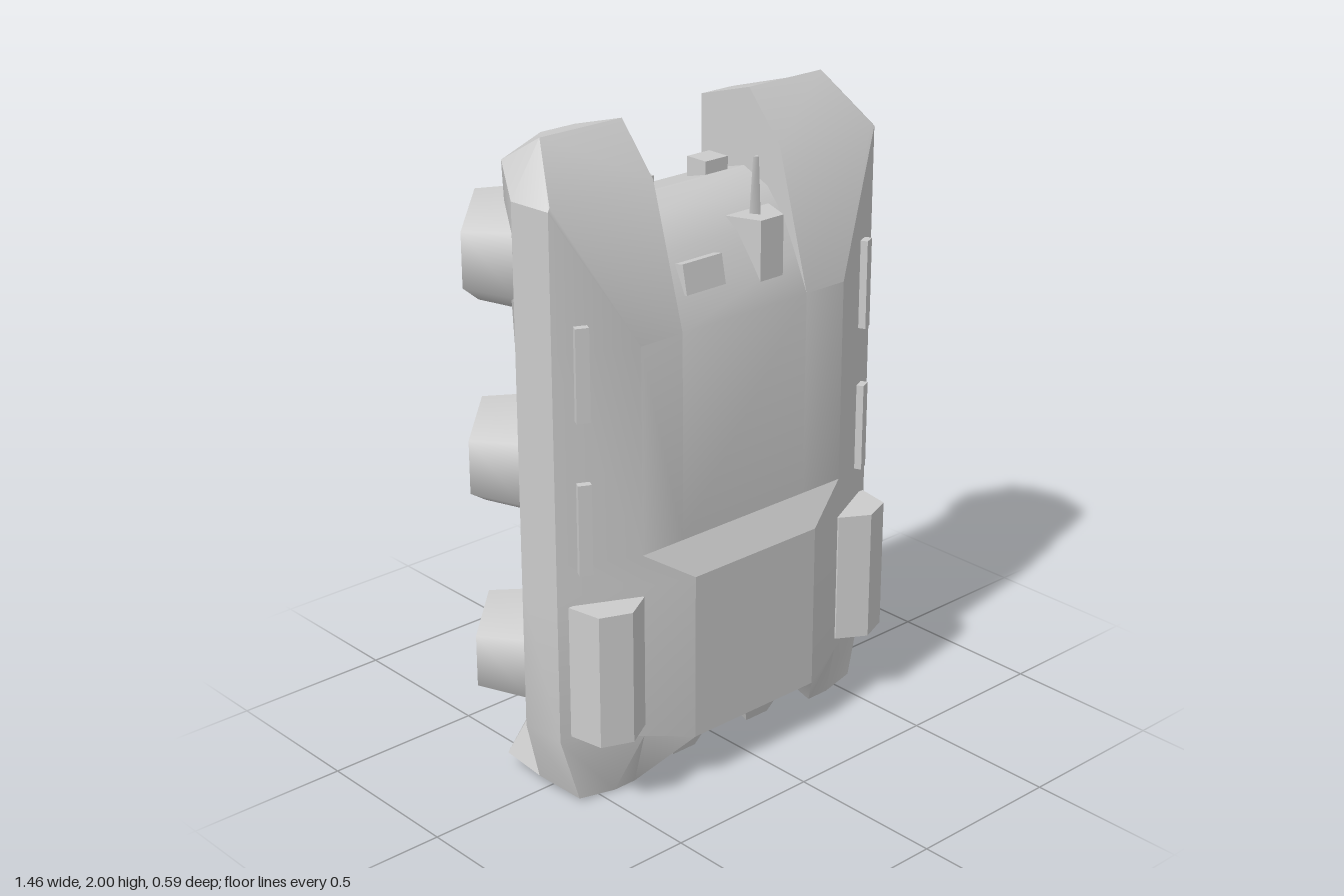
import * as THREE from 'three';
import { toCreasedNormals } from 'three/addons/utils/BufferGeometryUtils.js';

const material = new THREE.MeshStandardMaterial({ color: 0xcccccc, side: THREE.DoubleSide });

export function createModel() {
  const model = new THREE.Group();

  function add(name, geometry, x = 0, y = 0, z = 0) {
    const mesh = new THREE.Mesh(geometry, material);
    mesh.name = name;
    mesh.position.set(x, y, z);
    model.add(mesh);
    return mesh;
  }

  function extrude(points, depth) {
    const shape = new THREE.Shape(points.map(([x, y]) => new THREE.Vector2(x, y)));
    return new THREE.ExtrudeGeometry(shape, { depth, bevelEnabled: false });
  }

  // Upright prism from an (x, z) outline
  function prism(points, y0, y1) {
    const geometry = extrude(points.map(([x, z]) => [x, -z]), y1 - y0);
    return geometry.rotateX(-Math.PI / 2).translate(0, y0, 0);
  }

  // Side hull: rings from top to bottom, each running inner front -> outer -> inner back
  const back = (y) => [[0.66, y, 0], [0.515, y, -0.11], [0.37, y, -0.22], [0.245, y, -0.22]];
  const rings = [
    [[0.245, 2, -0.02], [0.53, 2, -0.02], [0.54, 2, -0.02], [0.54, 2, -0.02],
      [0.54, 2, -0.02], [0.4, 2, -0.02], [0.245, 2, -0.02]],
    [[0.245, 1.85, 0.11], [0.62, 1.85, 0.115], [0.63, 1.84, 0.12], [0.66, 1.85, 0],
      [0.58, 1.92, -0.14], [0.37, 1.94, -0.225], [0.245, 1.94, -0.225]],
    [[0.245, 1.43, 0.23], [0.4, 1.43, 0.23], [0.63, 1.43, 0.12], ...back(1.43)],
    [[0.245, 0.79, 0.23], [0.4, 0.79, 0.23], [0.63, 0.79, 0.12], ...back(0.79)],
    [[0.245, 0.69, 0.285], [0.4, 0.69, 0.23], [0.63, 0.69, 0.12], ...back(0.69)],
    [[0.245, 0.16, 0.285], [0.4, 0.2, 0.23], [0.63, 0.22, 0.12], ...back(0.24)],
    [[0.37, 0, 0.15], [0.45, 0, 0.15], [0.57, 0.01, 0.13], [0.6, 0.035, -0.02],
      [0.6, 0.05, -0.17], [0.42, 0.06, -0.17], [0.4, 0.06, -0.17]],
  ];

  function sideHull(side) {
    const positions = [];
    const tri = (...corners) => {
      const [a, b, c] = corners.map(([x, y, z]) => new THREE.Vector3(side * x, y, z));
      if (new THREE.Triangle(a, b, c).getArea() < 1e-7) return;
      for (const v of side > 0 ? [a, b, c] : [a, c, b]) positions.push(v.x, v.y, v.z);
    };
    for (let i = 0; i < rings.length - 1; i++) {
      const top = rings[i], low = rings[i + 1], n = top.length;
      for (let j = 0; j < n; j++) {
        const k = (j + 1) % n;
        tri(low[j], low[k], top[k]);
        tri(low[j], top[k], top[j]);
      }
    }
    const end = rings[rings.length - 1];
    for (let j = 1; j < end.length - 1; j++) tri(end[0], end[j + 1], end[j]);
    const geometry = new THREE.BufferGeometry();
    geometry.setAttribute('position', new THREE.Float32BufferAttribute(positions, 3));
    return toCreasedNormals(geometry, 0.5);
  }

  // Central hull: (z, y) profile with rounded upper deck, raised lower front and sloped underside
  const profile = [
    [0.285, 0.16], [0.285, 0.69], [0.23, 0.79], [0.23, 1.43], [0.18, 1.54], [0.13, 1.64],
    [0.06, 1.72], [-0.04, 1.76], [-0.22, 1.71], [-0.22, 0.24], [0.15, 0.1],
  ];
  const centre = extrude(profile, 0.49).rotateY(-Math.PI / 2).translate(0.245, 0, 0);
  add('centralHull', toCreasedNormals(centre, 0.5));

  for (const side of [1, -1]) {
    const label = side > 0 ? 'left' : 'right';
    add(label + 'Hull', sideHull(side));

    // Tapered hexagonal thrusters on the slanted rear panel
    for (const y of [0.425, 1.045, 1.665]) {
      const geometry = new THREE.CylinderGeometry(0.163, 0.187, 0.16, 6).rotateX(Math.PI / 2);
      const thruster = add(label + 'Thruster', geometry, side * 0.569, y, -0.152);
      thruster.rotation.y = side * Math.atan2(0.58, -0.82);
    }

    // Faceted pod low on the front
    const pod = [[0.4, 0.14], [0.4, 0.235], [0.49, 0.288], [0.585, 0.25], [0.605, 0.14]];
    const podGeometry = prism(pod.map(([x, z]) => [side * x, z]), 0.24, 0.66);
    add(label + 'Pod', toCreasedNormals(podGeometry, 0.65));

    // Slim strips on the slanted front panel
    for (const y of [0.902, 1.37]) {
      const strip = add(label + 'Strip', new THREE.BoxGeometry(0.04, 0.28, 0.04), side * 0.557, y, 0.158);
      strip.rotation.y = side * 0.447;
    }

    // Wedge-shaped skid along the underside
    const skid = extrude([[-0.085, 0.05], [-0.045, -0.045], [0.045, -0.045], [0.085, 0.05]], 0.2);
    const foot = add(label + 'Skid', skid.translate(0, 0, -0.2), side * 0.155, 0.058, 0.15);
    foot.rotation.x = 0.36;

    // Small rear deck hatch
    add(label + 'DeckHatch', new THREE.BoxGeometry(0.088, 0.07, 0.08), side * 0.145, 1.762, -0.09);
  }

  // Deck box
  const box = add('deckBox', new THREE.BoxGeometry(0.15, 0.09, 0.06), -0.125, 1.56, 0.16);
  box.rotation.x = -0.2;

  // Mast base and three-sided mast
  add('mastBase', prism([[0.03, 0.06], [0.23, 0.06], [0.175, 0.2], [0.085, 0.2]], 1.48, 1.68));
  add('mast', new THREE.CylinderGeometry(0.01, 0.02, 0.18, 3), 0.125, 1.76, 0.137);

  return model;
}
